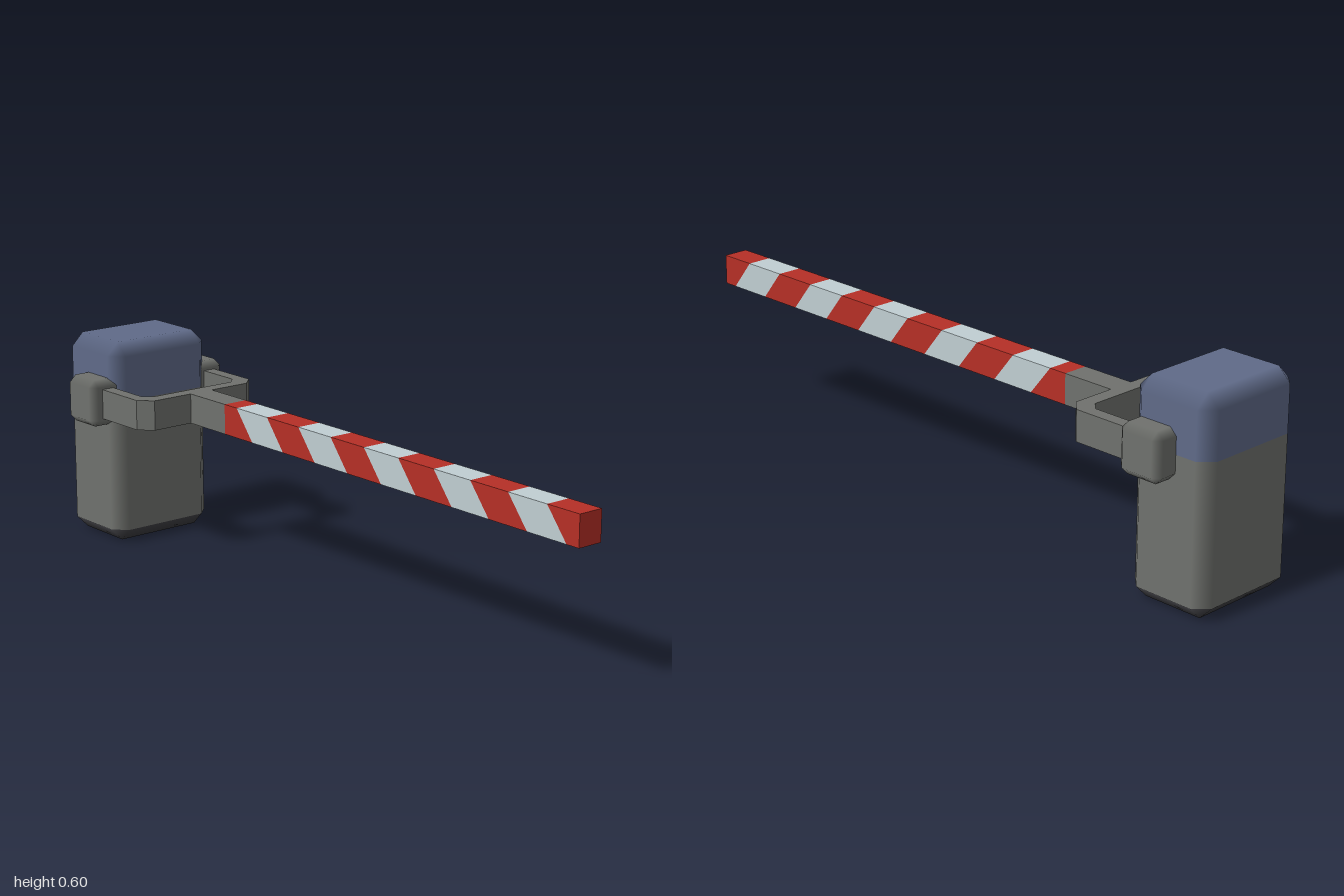
import * as THREE from 'three';

const mat = (name, color, extra = {}) => {
  const m = new THREE.MeshStandardMaterial({ color, ...extra });
  m.name = name;
  return m;
};

// Chamfered box (or a slice of one) from octagonal rings.
// levels: [y, cap], where cap -1 / 1 closes the bottom / top with an inset rectangle.
function chamferGeometry(w, d, c, levels) {
  const x = w / 2, z = d / 2, xi = x - c, zi = z - c;
  const ring = [
    [x, -zi, 1, 0], [x, zi, 1, 0], [xi, z, 0, 1], [-xi, z, 0, 1],
    [-x, zi, -1, 0], [-x, -zi, -1, 0], [-xi, -z, 0, -1], [xi, -z, 0, -1],
  ];
  const pos = [], nor = [], idx = [];
  levels.forEach(([y, cap], l) => {
    for (const [px, pz, nx, nz] of ring) {
      if (cap) {
        pos.push(Math.sign(px) * xi, y, Math.sign(pz) * zi);
        nor.push(0, cap, 0);
      } else {
        pos.push(px, y, pz);
        nor.push(nx, 0, nz);
      }
    }
    const o = l * 8;
    if (cap < 0) idx.push(o, o + 1, o + 3, o, o + 3, o + 5);
    if (cap > 0) idx.push(o, o + 3, o + 1, o, o + 5, o + 3);
    if (l === 0) return;
    for (let i = 0; i < 8; i++) {
      const j = (i + 1) % 8, a = o - 8 + i, b = o - 8 + j;
      idx.push(a, o + i, o + j, a, o + j, b);
    }
  });
  const g = new THREE.BufferGeometry();
  g.setAttribute('position', new THREE.Float32BufferAttribute(pos, 3));
  g.setAttribute('normal', new THREE.Float32BufferAttribute(nor, 3));
  g.setIndex(idx);
  return g;
}

const polygon = (pts) => new THREE.Shape(pts.map(([a, b]) => new THREE.Vector2(a, b)));

export function createModel() {
  const group = new THREE.Group();
  const grey = mat('grey metal', 0x6f716d);
  const blue = mat('blue lid', 0x5f6a88);
  const dark = mat('dark base', 0x3a3a3e);
  const red = mat('red stripe', 0xb52f26);
  const white = mat('white stripe', 0xc0ced2);

  const add = (name, geometry, material, x = 0, y = 0, z = 0) => {
    const mesh = new THREE.Mesh(geometry, material);
    mesh.name = name;
    mesh.position.set(x, y, z);
    group.add(mesh);
    return mesh;
  };

  // Housing, split by colour into base, body and lid
  const W = 0.255, D = 0.342, C = 0.038, cx = -0.8725, split = 0.43;
  add('housingBase', chamferGeometry(W, D, C, [[0, -1], [C, 0]]), dark, cx);
  add('housingBody', chamferGeometry(W, D, C, [[C, 0], [split, 0]]), grey, cx);
  add('housingLid', chamferGeometry(W, D, C, [[split, 0], [0.6 - C, 0], [0.6, 1]]), blue, cx);

  // Hinge blocks on both sides
  for (const side of [1, -1]) {
    const g = chamferGeometry(0.135, 0.118, 0.02, [[0.36, -1], [0.38, 0], [0.478, 0], [0.498, 1]]);
    add(side > 0 ? 'frontHinge' : 'backHinge', g, grey, -0.8325, 0, side * 0.179);
  }

  // Forked yoke with its shank
  const y0 = 0.385, y1 = 0.472, arm = 0.038;
  const half = [
    [-0.4, arm], [-0.56, arm], [-0.56, 0.166], [-0.597, 0.203], [-0.83, 0.203],
    [-0.83, 0.165], [-0.627, 0.165], [-0.602, 0.14],
  ];
  const mirrored = half.map(([x, z]) => [x, -z]).reverse();
  const yoke = new THREE.ExtrudeGeometry(polygon([...half, ...mirrored]), {
    depth: y1 - y0, bevelEnabled: false,
  });
  yoke.rotateX(Math.PI / 2);
  add('yoke', yoke, grey, 0, y1);

  // Striped boom: slanted prisms in alternating colours
  const start = -0.4, end = 1, slant = 0.07, step = 0.137;
  const clamp = (x) => Math.min(end, Math.max(start, x));
  for (let i = 0; i < 11; i++) {
    const a = -0.482 + i * step, b = a + step;
    const g = new THREE.ExtrudeGeometry(polygon([
      [clamp(a + slant), y0], [i === 10 ? end : clamp(b + slant), y0],
      [i === 10 ? end : clamp(b), y1], [clamp(a), y1],
    ]), { depth: arm * 2, bevelEnabled: false });
    add(i % 2 ? 'whiteBoomStripe' : 'redBoomStripe', g, i % 2 ? white : red, 0, 0, -arm);
  }

  return group;
}
